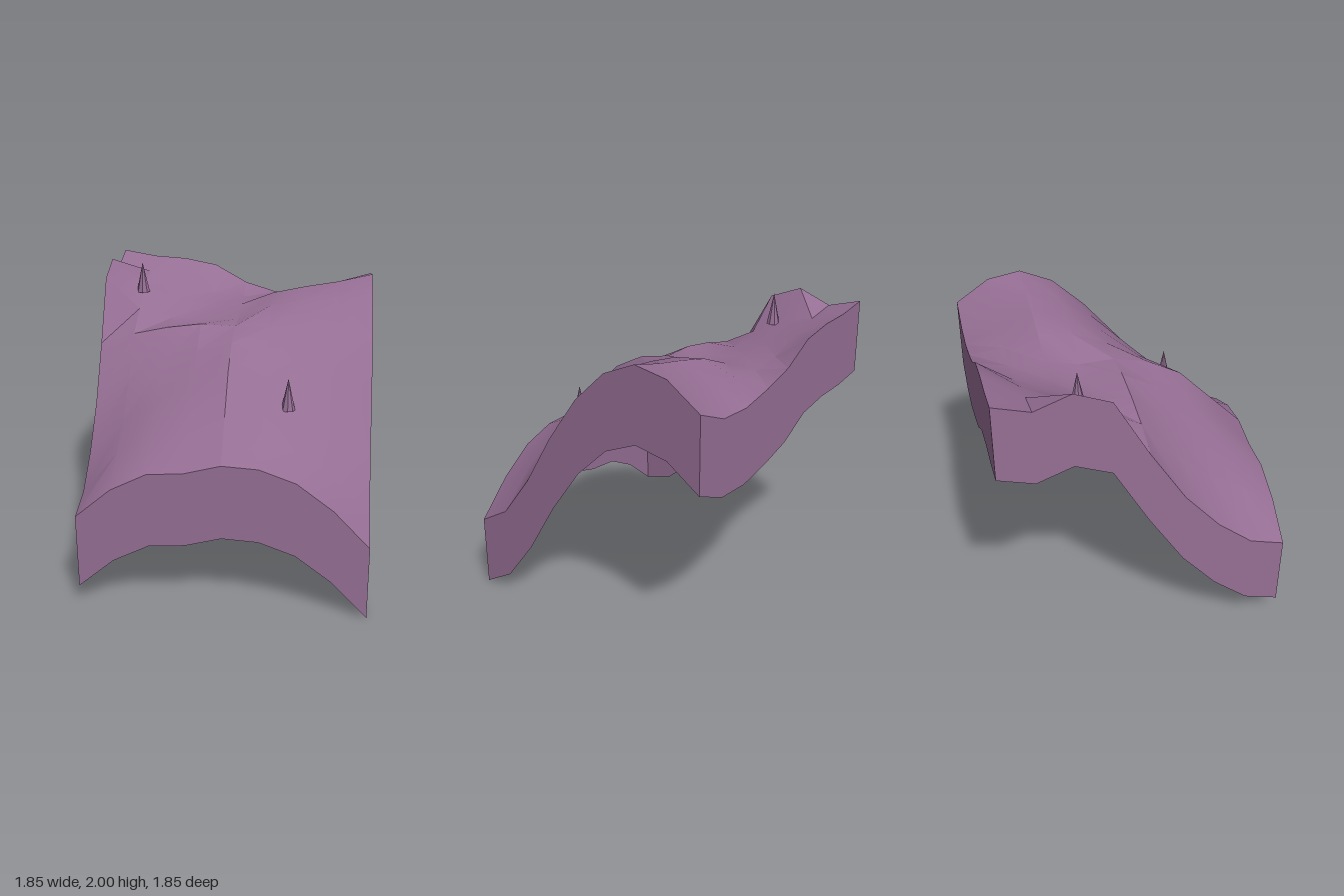
import * as THREE from 'three';
import { toCreasedNormals } from 'three/addons/utils/BufferGeometryUtils.js';

const SIZE = 1.853, CELLS = 8, SKIRT = 0.495;

// Terrain heights: rows run back to front, columns from -x to +x
const HEIGHTS = [
  [1.98, 1.94, 1.925, 1.88, 1.75, 1.68, 1.63, 1.635, 1.73],
  [1.915, 1.87, 1.81, 1.72, 1.69, 1.70, 1.72, 1.78, 1.885],
  [2.0, 1.81, 1.73, 1.68, 1.69, 1.78, 1.83, 1.87, 1.925],
  [1.91, 1.70, 1.64, 1.63, 1.64, 1.745, 1.78, 1.80, 1.825],
  [1.505, 1.58, 1.63, 1.66, 1.65, 1.65, 1.64, 1.63, 1.61],
  [1.145, 1.32, 1.44, 1.54, 1.60, 1.52, 1.47, 1.40, 1.30],
  [0.885, 1.11, 1.25, 1.38, 1.48, 1.32, 1.22, 1.08, 0.93],
  [0.70, 0.98, 1.11, 1.19, 1.25, 1.11, 1.03, 0.87, 0.635],
  [0.635, 0.83, 0.945, 0.96, 1.02, 1.005, 0.92, 0.745, 0.5],
];

const at = (i) => (i / CELLS - 0.5) * SIZE;

export function createModel() {
  const group = new THREE.Group();
  group.name = 'terrainTile';
  const mauve = new THREE.MeshStandardMaterial({ color: 0x956e94, side: THREE.DoubleSide });
  mauve.name = 'mauve rock';

  const add = (name, geometry) => {
    const mesh = new THREE.Mesh(geometry, mauve);
    mesh.name = name;
    group.add(mesh);
    return mesh;
  };

  // Ground surface: a grid lifted to the height map
  const ground = new THREE.PlaneGeometry(SIZE, SIZE, CELLS, CELLS).rotateX(-Math.PI / 2);
  const gp = ground.attributes.position;
  for (let k = 0; k < gp.count; k++) {
    gp.setY(k, HEIGHTS[Math.floor(k / (CELLS + 1))][k % (CELLS + 1)]);
  }
  add('ground', toCreasedNormals(ground, 0.4));

  // Skirt walls: each follows one edge of the ground and hangs a fixed depth
  const skirt = (name, cell) => {
    const wall = new THREE.PlaneGeometry(SIZE, 1, CELLS, 1);
    const p = wall.attributes.position;
    for (let k = 0; k < p.count; k++) {
      const [col, row] = cell(k % (CELLS + 1));
      const drop = k > CELLS ? SKIRT : 0;
      p.setXYZ(k, at(col), HEIGHTS[row][col] - drop, at(row));
    }
    wall.computeVertexNormals();
    add(name, wall);
  };
  skirt('frontWall', (i) => [i, CELLS]);
  skirt('backWall', (i) => [CELLS - i, 0]);
  skirt('leftWall', (i) => [CELLS, CELLS - i]);
  skirt('rightWall', (i) => [0, i]);

  // Pointed spikes set into the ground
  const spike = toCreasedNormals(new THREE.ConeGeometry(0.046, 0.21, 8), 0.3).translate(0, 0.105, 0);
  add('frontSpike', spike).position.set(0.385, 1.23, 0.465);
  add('backSpike', spike).position.set(-0.695, 1.785, -0.39);

  return group;
}
